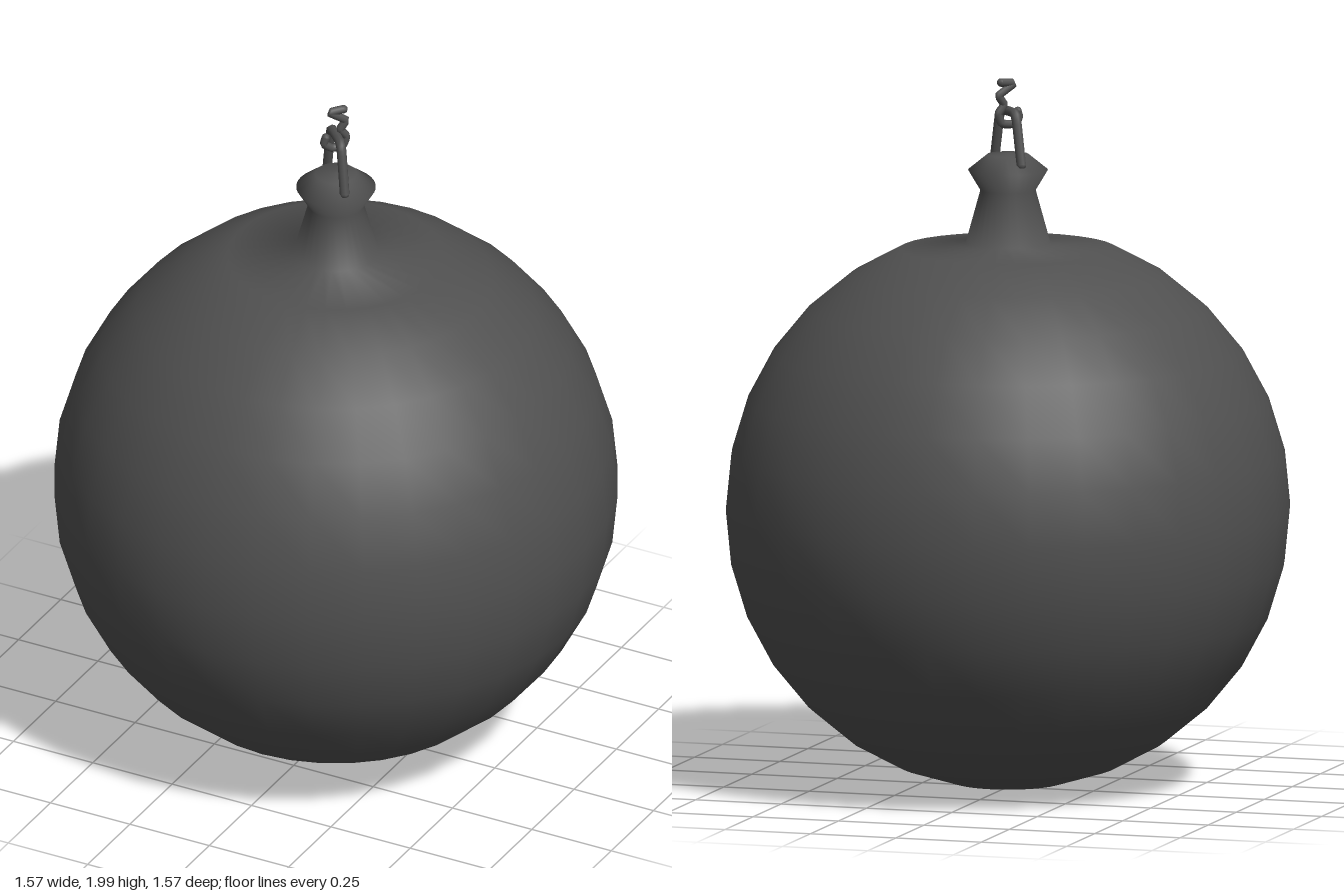
import * as THREE from 'three';

const material = new THREE.MeshStandardMaterial({ color: 0x505050 });

function addMesh(parent, name, geometry) {
  const mesh = new THREE.Mesh(geometry, material);
  mesh.name = name;
  parent.add(mesh);
  return mesh;
}

// Wire through points given in the local x-y plane, with capped ends
function addWire(parent, name, points, radius) {
  const wire = new THREE.Group();
  wire.name = name;
  const path = new THREE.CurvePath();
  const pts = points.map(([x, y]) => new THREE.Vector3(x, y, 0));
  for (let i = 1; i < pts.length; i++) path.add(new THREE.LineCurve3(pts[i - 1], pts[i]));
  const curve = new THREE.CatmullRomCurve3(pts, false, 'catmullrom', 0.2);
  addMesh(wire, name + 'Tube', new THREE.TubeGeometry(curve, pts.length * 5, radius, 8));
  for (const end of [pts[0], pts[pts.length - 1]]) {
    addMesh(wire, name + 'End', new THREE.SphereGeometry(radius, 8, 6)).position.copy(end);
  }
  parent.add(wire);
}

export function createModel() {
  const group = new THREE.Group();
  group.name = 'pendantBall';

  // Ball and neck share one smooth profile; the ball stops short of its upper pole
  const radius = 0.787, centerY = 0.793;
  const profile = [];
  for (let i = 0; i <= 14; i++) {
    const a = (i * Math.PI) / 16;
    profile.push(new THREE.Vector2(radius * Math.sin(a), centerY - radius * Math.cos(a)));
  }
  for (const [r, y] of [[0.118, 1.537], [0.077, 1.685], [0.111, 1.742], [0.058, 1.785], [0, 1.79]]) {
    profile.push(new THREE.Vector2(r, y));
  }
  addMesh(group, 'ballAndNeck', new THREE.LatheGeometry(profile, 32));

  // Tapered shackle, set diagonally on the neck
  const shackle = new THREE.Group();
  shackle.name = 'shackle';
  shackle.rotation.y = -Math.PI / 4;
  addWire(shackle, 'shackleBar', [
    [-0.082, 1.765], [-0.053, 1.885], [-0.038, 1.906],
    [0.038, 1.906], [0.053, 1.885], [0.082, 1.765],
  ], 0.014);
  group.add(shackle);

  // Bent hook through the shackle, at right angles to it
  const hook = new THREE.Group();
  hook.name = 'hook';
  hook.rotation.y = Math.PI / 4;
  addWire(hook, 'hookWire', [
    [-0.03, 1.905], [-0.035, 1.885], [-0.012, 1.869], [0.02, 1.873], [0.03, 1.9],
    [0.012, 1.925], [0.028, 1.952], [-0.018, 1.983], [0.022, 1.988],
  ], 0.012);
  group.add(hook);

  return group;
}
